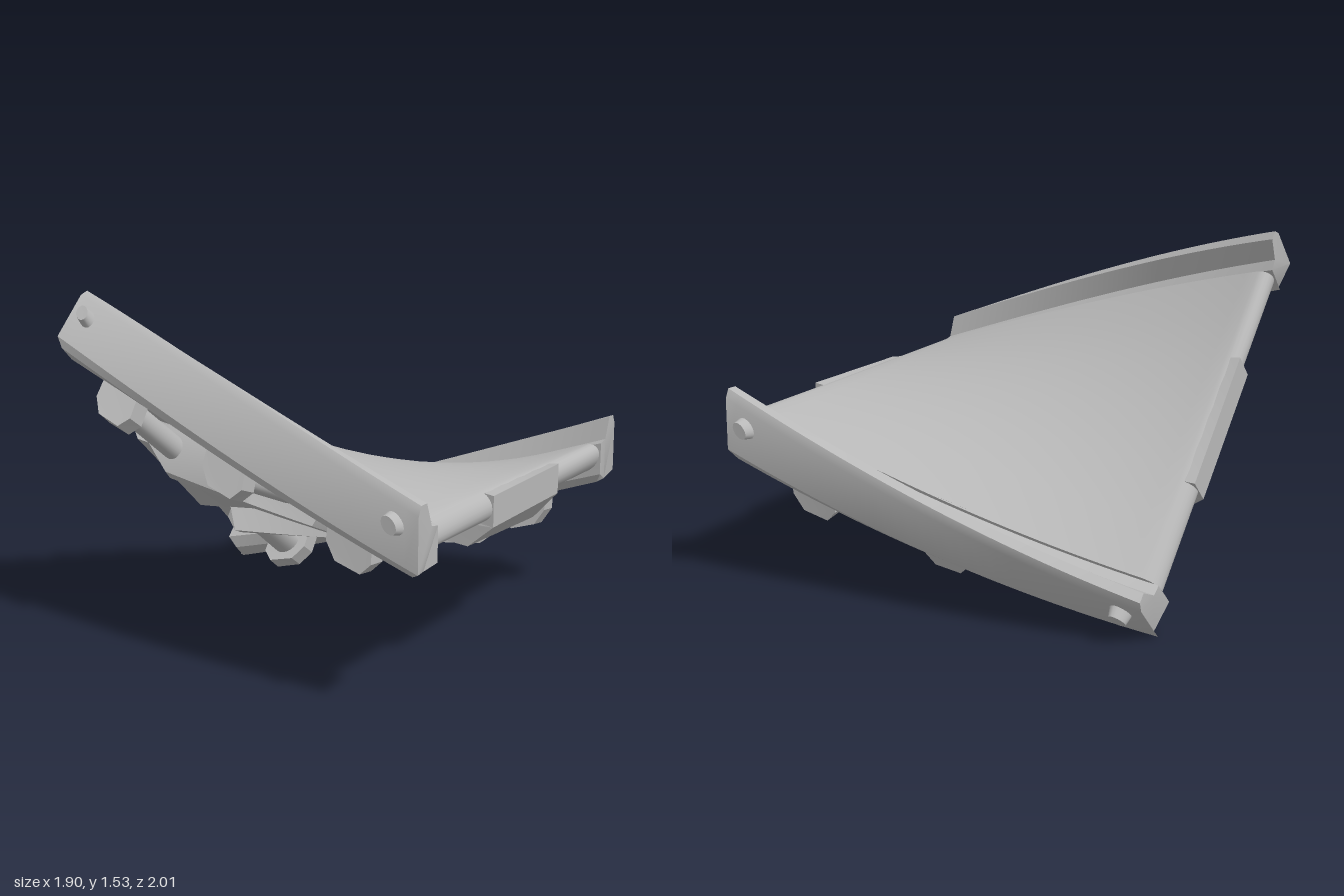
import * as THREE from 'three';
import { toCreasedNormals } from 'three/addons/utils/BufferGeometryUtils.js';

const PIVOT = 0.8;   // height of the twist axis
const HALF = 0.95;   // half length along x

// Straight parts are modelled around the axis, then turned progressively from 0 to 45 degrees.
function twist(geo, crease = 0.5) {
  const g = geo.index ? geo.toNonIndexed() : geo;
  const p = g.attributes.position;
  for (let i = 0; i < p.count; i++) {
    const x = p.getX(i), y = p.getY(i), z = p.getZ(i);
    const a = (HALF - x) / (2 * HALF) * Math.PI / 4;
    const c = Math.cos(a), s = Math.sin(a);
    p.setXYZ(i, x, PIVOT + z * s + y * c, z * c - y * s);
  }
  return toCreasedNormals(g, crease);
}

// Cross-section of [z, y] points swept along x; rule(x, y, z) returns adjusted [x, y, z].
function sweepX(points, half, side, rule) {
  const shape = new THREE.Shape(points.map(([z, y]) => new THREE.Vector2(-z * side, y)));
  const g = new THREE.ExtrudeGeometry(shape, { depth: 2 * half, steps: 32, bevelEnabled: false });
  g.translate(0, 0, -half).rotateY(Math.PI / 2);
  const p = g.attributes.position;
  for (let i = 0; i < p.count; i++) {
    const [x, y, z] = rule(p.getX(i), p.getY(i), p.getZ(i) * side);
    p.setXYZ(i, x, y, z * side);
  }
  return g;
}

// Side profile of [x, y] points extruded across z.
function sweepZ(points, z0, z1, steps = 1) {
  const shape = new THREE.Shape(points.map(([x, y]) => new THREE.Vector2(x, y)));
  return new THREE.ExtrudeGeometry(shape, { depth: z1 - z0, steps, bevelEnabled: false }).translate(0, 0, z0);
}

// Evenly divided horizontal line, so long edges can follow the twist.
function line(x0, x1, y, n = 28) {
  return Array.from({ length: n + 1 }, (_, i) => [x0 + (x1 - x0) * i / n, y]);
}

// Half circle for a rounded deck end.
function roundEnd(cx, cy, r, start) {
  return Array.from({ length: 9 }, (_, i) => {
    const a = start - Math.PI * (i + 1) / 10;
    return [cx + r * Math.cos(a), cy + r * Math.sin(a)];
  });
}

export function createModel() {
  const root = new THREE.Group();
  root.name = 'twistedTrackSection';
  const grey = new THREE.MeshStandardMaterial({ color: 0xb8b8b8 });
  grey.name = 'grey';

  const add = (name, geo, crease) => {
    const m = new THREE.Mesh(twist(geo, crease), grey);
    m.name = name;
    root.add(m);
  };

  // Deck slab with rounded ends
  const r = 0.065, cx = HALF - 0.005 - r;
  add('deck', sweepZ([
    ...line(-cx, cx, 0), ...roundEnd(cx, -r, r, Math.PI / 2),
    ...line(cx, -cx, -2 * r), ...roundEnd(-cx, -r, r, -Math.PI / 2),
  ], -0.795, 0.795, 6));

  // Central girder with sloped ends
  add('girder', sweepZ([
    [-HALF, -0.005], ...line(-0.84, 0.84, -0.005), [HALF, -0.005],
    [HALF, -0.14], ...line(0.84, -0.84, -0.25), [-HALF, -0.14],
  ], -0.32, 0.32, 4));

  const railSection = [
    [0.89, 0.1], [0.935, 0.1], [0.955, 0.06], [0.957, -0.17], [0.935, -0.2],
    [0.85, -0.2], [0.8, -0.16], [0.8, -0.01], [0.85, 0],
  ];
  const stringerSection = [
    [0.31, -0.17], [0.385, -0.17], [0.39, -0.27], [0.36, -0.36], [0.31, -0.37],
  ];

  for (const side of [1, -1]) {
    const tag = side > 0 ? 'front' : 'back';

    // Side rail, its lower end corners cut back
    add(tag + 'Rail', sweepX(railSection, HALF, side, (x, y, z) =>
      [Math.abs(x) > HALF - 0.001 && y < -0.18 ? x * 0.965 : x, y, z]));

    // Stringer along the girder edge, with sloped ends and a shallow middle recess
    add(tag + 'Stringer', sweepX(stringerSection, 0.72, side, (x, y, z) => {
      const nx = y < -0.3 ? x * 0.84 : x;
      const recessed = Math.abs(x) < 0.21 && z > 0.37;
      return [nx, y, recessed ? z - 0.045 : z];
    }));

    for (const x of [-0.6, 0, 0.6]) {
      // Cross strut between stringer and rail
      const strut = new THREE.CylinderGeometry(0.057, 0.057, 0.47, 20);
      strut.rotateX(Math.PI / 2).translate(x, -0.245, side * 0.565);
      add(tag + 'Strut', strut, 0.6);

      // Bracket holding the strut, with chamfered lower corners
      const w = 0.1;
      const outline = [[x - w, -0.12], [x + w, -0.12], [x + w, -0.28],
        [x + 0.055, -0.34], [x - 0.055, -0.34], [x - w, -0.28]];
      const za = side * 0.77, zb = side * 0.86;
      add(tag + 'Bracket', sweepZ(outline, Math.min(za, zb), Math.max(za, zb)));
    }

    // Tapered pins on the outer rail face
    for (const x of [-0.845, 0.845]) {
      const pin = new THREE.CylinderGeometry(0.034, 0.047, 0.07, 16);
      pin.rotateX(side * Math.PI / 2).translate(x, -0.02, side * 0.967);
      add(tag + 'Pin', pin, 0.6);
    }
  }
  return root;
}
